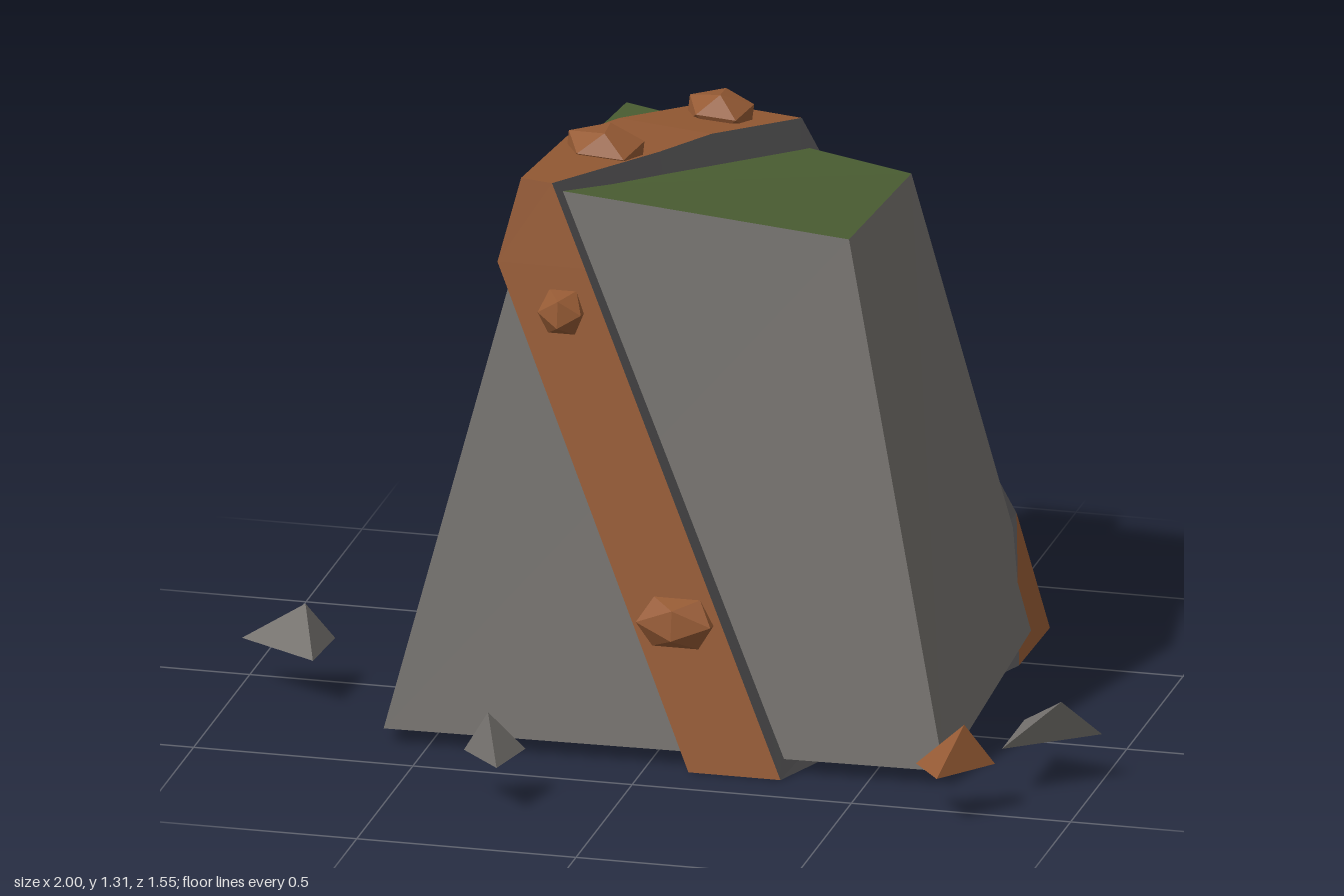
import * as THREE from 'three';

const mat = (name, color) => Object.assign(new THREE.MeshStandardMaterial({ color, flatShading: true }), { name });

// Flat-sided mesh from polygons, each turned to face away from the centre
function faceted(name, polygons, centre, material) {
  const c = new THREE.Vector3(...centre);
  const pos = [];
  for (const poly of polygons) {
    for (let i = 1; i < poly.length - 1; i++) {
      const tri = [poly[0], poly[i], poly[i + 1]].map(p => new THREE.Vector3(...p));
      const n = tri[1].clone().sub(tri[0]).cross(tri[2].clone().sub(tri[0]));
      if (n.dot(tri[0].clone().sub(c)) < 0) tri.reverse();
      tri.forEach(v => pos.push(v.x, v.y, v.z));
    }
  }
  const g = new THREE.BufferGeometry();
  g.setAttribute('position', new THREE.Float32BufferAttribute(pos, 3));
  g.computeVertexNormals();
  const mesh = new THREE.Mesh(g, material);
  mesh.name = name;
  return mesh;
}

export function createModel() {
  const stone = mat('stone grey', 0x74716d);
  const edge = mat('dark band edge', 0x504f50);
  const rust = mat('rusty brown', 0x955a34);
  const moss = mat('moss green', 0x4c6034);
  const model = new THREE.Group();
  model.name = 'bandedRock';

  // Tapered rock with a mossy top; corners run front left, front right, back right, back left
  const low = [[-0.6, 0.035, 0.37], [0.67, 0.035, 0.34], [0.62, 0.035, -0.7], [-0.72, 0.035, -0.72]];
  const high = [[-0.3, 1.265, 0.18], [0.41, 1.2, 0.17], [0.35, 1.08, -0.62], [-0.3, 1.19, -0.62]];
  const sides = low.map((p, i) => [p, low[(i + 1) % 4], high[(i + 1) % 4], high[i]]);
  const mid = [0, 0.6, -0.2];
  model.add(faceted('rockBody', [low, ...sides], mid, stone));
  model.add(faceted('mossyTop', [high], mid, moss));

  // Slanted band around the rock: stations [z, y], cut off at two opposite corners
  const slant = (z, y) => 0.454 - 0.496 * y - 0.369 * z;
  const width = 0.21;
  const stations = {
    frontLow: [0.39, 0], frontCut: [0.23, 1.1], frontTop: [0.2, 1.29], topCut: [-0.17, 1.263],
    topBend: [-0.35, 1.25], backTop: [-0.64, 1.2], backCut: [-0.718, 0.27], backLow: [-0.74, 0], lowCut: [-0.48, 0],
  };
  const names = Object.keys(stations);
  const R = {}, L = {};
  for (const k of names) {
    const [z, y] = stations[k];
    const right = Math.min(slant(z, y), 0.635 - 0.26 * y);
    const left = Math.max(slant(z, y) - width, -0.33 - 0.244 * (1.29 - y));
    const drop = y > 1.15 ? 0.09 * (right - left) : 0;
    R[k] = [right, y - drop, z];
    L[k] = [left, y, z];
  }
  const strips = names.map((k, i) => {
    const n = names[(i + 1) % names.length];
    return [L[k], R[k], R[n], L[n]];
  });
  const pick = (side, list) => list.map(k => side[k]);
  const bandMid = [0.05, 0.6, -0.17];
  model.add(faceted('bandOuter', [
    ...strips,
    pick(R, ['backCut', 'backLow', 'lowCut']),
    pick(L, ['frontCut', 'frontTop', 'topCut']),
  ], bandMid, rust));
  model.add(faceted('bandEdges', [
    pick(R, ['frontLow', 'frontCut', 'frontTop', 'topCut', 'topBend', 'backTop', 'backCut', 'lowCut']),
    pick(L, ['frontLow', 'frontCut', 'topCut', 'topBend', 'backTop', 'backCut', 'backLow', 'lowCut']),
  ], bandMid, edge));

  // Faceted studs: position, outward direction, half width, half height
  const studs = [
    [[-0.225, 1.0, 0.243], [0, 0.15, 1], 0.058, 0.058],
    [[0.06, 0.33, 0.342], [0, 0.15, 1], 0.1, 0.065],
    [[-0.22, 1.26, -0.12], [0.09, 1, -0.07], 0.1, 0.085],
    [[-0.065, 1.215, -0.54], [0.09, 1, -0.17], 0.085, 0.085],
    [[0.28, 0.63, -0.688], [0, 0.08, -1], 0.055, 0.055],
    [[0.47, 0.175, -0.727], [0, 0.08, -1], 0.058, 0.055],
  ];
  for (const [p, d, w, h] of studs) {
    const stud = new THREE.Mesh(new THREE.IcosahedronGeometry(1, 0), rust);
    stud.name = 'stud';
    stud.scale.set(w, h, 0.055);
    stud.position.set(...p);
    stud.quaternion.setFromUnitVectors(new THREE.Vector3(0, 0, 1), new THREE.Vector3(...d).normalize());
    model.add(stud);
  }

  // Loose three-sided chips: base corners [x, z], tip [x, z]
  const chips = [
    [[[-1, 0.07], [-0.8, 0.02], [-0.81, 0.18]], [-0.85, 0.09], stone],
    [[[-0.34, 0.67], [-0.21, 0.63], [-0.24, 0.77]], [-0.28, 0.69], stone],
    [[[0.65, 0.51], [0.82, 0.47], [0.72, 0.6]], [0.76, 0.51], rust],
    [[[0.81, 0.17], [1, 0.22], [0.81, 0.37]], [0.93, 0.31], stone],
  ];
  for (const [base, tip, material] of chips) {
    const b = base.map(([x, z]) => [x, 0.11, z]);
    const t = [tip[0], 0.21, tip[1]];
    const centre = [0, 1, 2].map(i => (b[0][i] + b[1][i] + b[2][i] + t[i]) / 4);
    model.add(faceted('looseChip', [b, ...b.map((p, i) => [p, b[(i + 1) % 3], t])], centre, material));
  }
  return model;
}
